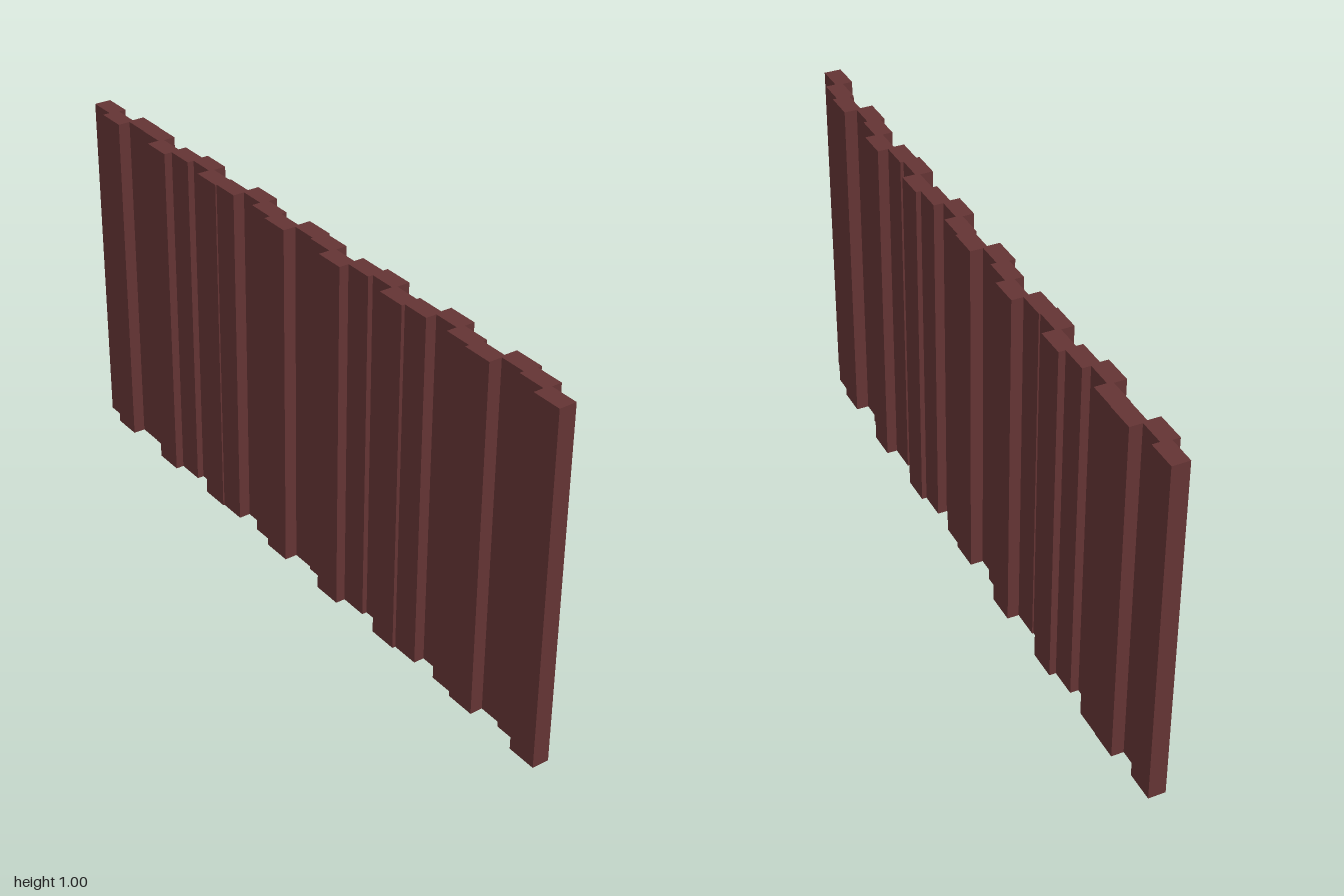
import * as THREE from 'three';

export function createModel() {
  const model = new THREE.Group();
  model.name = 'plankFence';
  const wood = new THREE.MeshStandardMaterial({ color: 0x643434 });
  wood.name = 'dark red wood';

  // Row of slightly overlapping boards, staggered in depth by a sine wave
  const count = 25, width = 0.085, height = 1, depth = 0.048;
  const pitch = (2 - width) / (count - 1);
  const board = new THREE.BoxGeometry(width, height, depth);
  for (let i = 0; i < count; i++) {
    const plank = new THREE.Mesh(board, wood);
    plank.name = `plank${i + 1}`;
    plank.position.set(-1 + width / 2 + i * pitch, height / 2, 0.022 * Math.sin(i * 1.9));
    model.add(plank);
  }
  return model;
}
